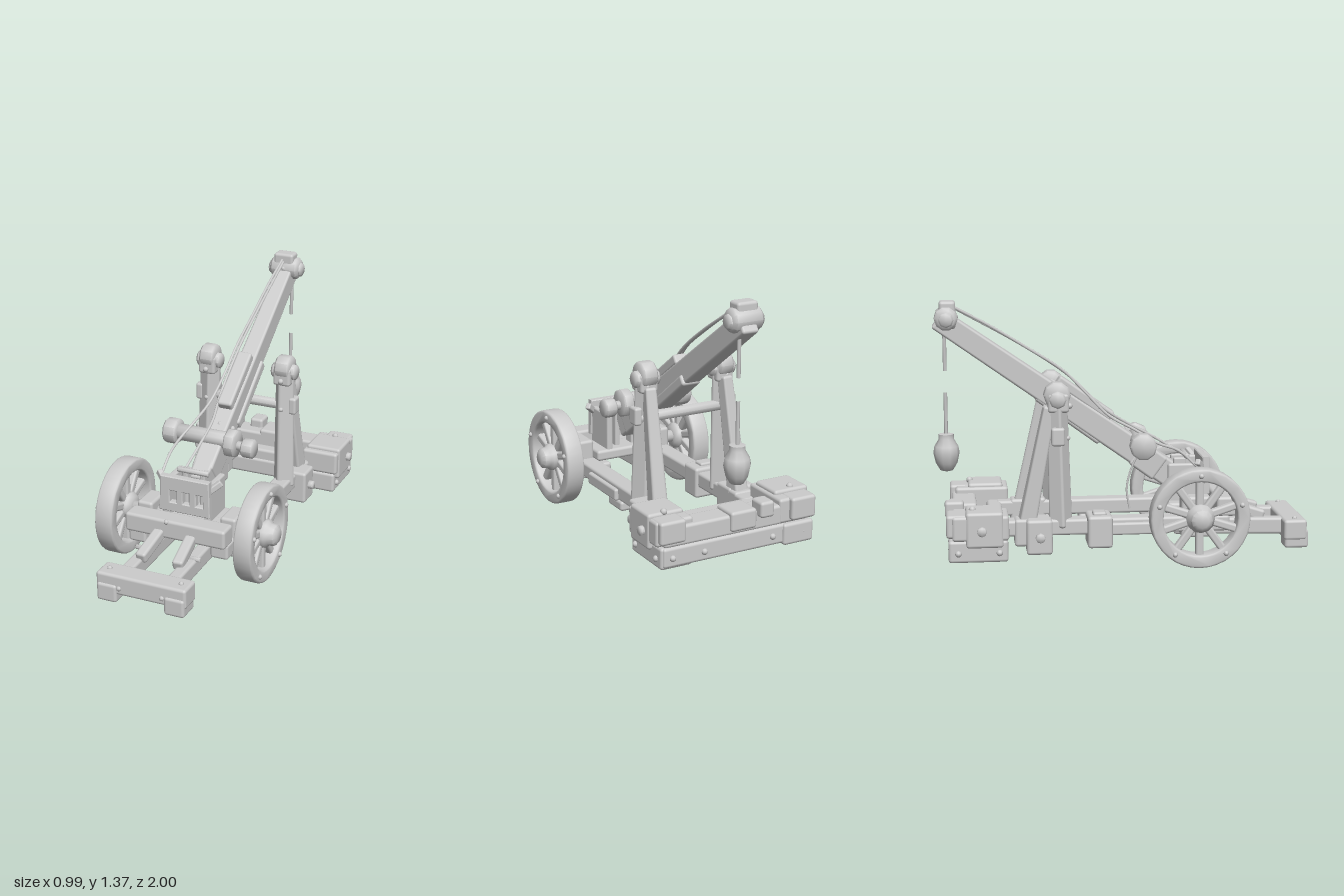
import * as THREE from 'three';
import { RoundedBoxGeometry } from 'three/addons/geometries/RoundedBoxGeometry.js';
import { toCreasedNormals } from 'three/addons/utils/BufferGeometryUtils.js';

const mat = new THREE.MeshStandardMaterial({ color: 0xcccccc });
const V = (x, y, z) => new THREE.Vector3(x, y, z);
const lathe = (pts, sides) => toCreasedNormals(new THREE.LatheGeometry(pts.map(p => new THREE.Vector2(...p)), sides), 0.9);

export function createModel() {
  const root = new THREE.Group();
  root.name = 'siegeEngine';

  const add = (name, geo, x = 0, y = 0, z = 0, parent = root) => {
    const m = new THREE.Mesh(geo, mat);
    m.name = name;
    m.position.set(x, y, z);
    parent.add(m);
    return m;
  };
  // Softly worn timber block given by its extents
  const block = (name, x0, x1, y0, y1, z0, z1, parent = root) => {
    const w = x1 - x0, h = y1 - y0, d = z1 - z0;
    const r = Math.min(0.016, Math.min(w, h, d) * 0.3);
    return add(name, new RoundedBoxGeometry(w, h, d, 2, r), (x0 + x1) / 2, (y0 + y1) / 2, (z0 + z1) / 2, parent);
  };
  // Timber between two points, tapering towards q
  const beam = (name, p, q, w, h, taper = 1) => {
    const len = p.distanceTo(q);
    const g = new RoundedBoxGeometry(w, h, len, 2, Math.min(0.015, w * 0.25, h * 0.25));
    const pos = g.attributes.position;
    for (let i = 0; i < pos.count; i++) {
      const s = 1 + (taper - 1) * (pos.getZ(i) / len + 0.5);
      pos.setXY(i, pos.getX(i) * s, pos.getY(i) * s);
    }
    const m = add(name, g);
    m.position.copy(p).lerp(q, 0.5);
    m.lookAt(q);
    return m;
  };
  // Bevelled cylinder along x
  const rod = (name, x0, x1, y, z, r, sides = 12) => {
    const h = (x1 - x0) / 2, b = Math.min(r, h) * 0.25;
    const g = lathe([[0, -h], [r - b, -h], [r, b - h], [r, h - b], [r - b, h], [0, h]], sides);
    return add(name, g.rotateZ(-Math.PI / 2), (x0 + x1) / 2, y, z);
  };
  const bolt = (x, y, z, r = 0.014) => add('bolt', new THREE.SphereGeometry(r, 8, 6), x, y, z);
  const rope = (name, pts, r = 0.008) =>
    add(name, new THREE.TubeGeometry(new THREE.CatmullRomCurve3(pts.map(p => V(...p))), 48, r, 6));

  // Wheels with rim, spokes and hub
  const rimShape = new THREE.Shape().absarc(0, 0, 0.252, 0, Math.PI * 2);
  rimShape.holes.push(new THREE.Path().absarc(0, 0, 0.206, 0, Math.PI * 2, true));
  const rimGeo = toCreasedNormals(new THREE.ExtrudeGeometry(rimShape, {
    depth: 0.08, curveSegments: 18, bevelSize: 0.01, bevelThickness: 0.01, bevelSegments: 2,
  }).translate(0, 0, -0.04).rotateY(Math.PI / 2), 0.9);
  const hubGeo = lathe([
    [0, -0.055], [0.055, -0.055], [0.075, -0.035], [0.075, 0.04], [0.06, 0.055], [0.056, 0.085], [0.035, 0.1], [0, 0.1],
  ], 12);
  for (const s of [-1, 1]) {
    const wheel = new THREE.Group();
    wheel.name = s > 0 ? 'leftWheel' : 'rightWheel';
    wheel.position.set(s * 0.395, 0.267, 0.377);
    root.add(wheel);
    add('rim', rimGeo, 0, 0, 0, wheel);
    add('hub', hubGeo, 0, 0, 0, wheel).rotation.z = -s * Math.PI / 2;
    for (let i = 0; i < 10; i++) {
      const a = i * Math.PI / 5;
      const sp = add('spoke', new RoundedBoxGeometry(0.045, 0.16, 0.042, 2, 0.012), 0, 0.133 * Math.cos(a), 0.133 * Math.sin(a), wheel);
      sp.rotation.x = a;
    }
    for (let i = 0; i < 5; i++) {
      const a = i * Math.PI * 0.4;
      add('rimBolt', new THREE.SphereGeometry(0.014, 8, 6), s * 0.05, 0.228 * Math.cos(a), 0.228 * Math.sin(a), wheel);
    }
  }
  rod('axle', -0.4, 0.4, 0.267, 0.377, 0.035);

  // Front bumper
  block('frontBar', -0.25, 0.25, 0.09, 0.2, 0.865, 0.99);
  for (const s of [-1, 1]) {
    block('barClamp', s * 0.188 - 0.056, s * 0.188 + 0.056, 0.045, 0.145, 0.87, 1);
    bolt(s * 0.2, 0.2, 0.93);
    bolt(s * 0.12, 0.13, 0.988);
  }

  // Chassis
  for (const s of [-1, 1]) {
    beam('frontRail', V(s * 0.13, 0.15, 0.9), V(s * 0.13, 0.165, 0.28), 0.07, 0.09);
    beam('sideRail', V(s * 0.235, 0.205, 0.56), V(s * 0.235, 0.205, -0.66), 0.1, 0.085);
    beam('wedge', V(s * 0.105, 0.2, 0.78), V(s * 0.085, 0.28, 0.52), 0.06, 0.06);
    rod('peg', s * 0.15 - 0.035, s * 0.15 + 0.035, 0.2, 0.67, 0.013, 8);
    block('axleBearing', s * 0.24 - 0.045, s * 0.24 + 0.045, 0.13, 0.35, 0.3, 0.46);
    block('sidePlank', s * 0.285 - 0.02, s * 0.285 + 0.02, 0.16, 0.225, -0.16, 0.16);
    bolt(s * 0.25, 0.225, 0.52);
  }
  block('frontCrossBeam', -0.285, 0.285, 0.24, 0.345, 0.49, 0.6);
  bolt(-0.045, 0.335, 0.595);
  block('railStrapRight', -0.34, -0.17, 0.1, 0.27, -0.2, -0.07);
  block('railStrapPeg', -0.3, -0.22, 0.25, 0.285, -0.17, -0.1);
  block('railStrapLeft', 0.17, 0.29, 0.11, 0.165, -0.2, -0.05);

  // Slotted cradle holding the foot of the arm
  const plate = new THREE.Shape([[-0.14, 0.34], [0.14, 0.34], [0.135, 0.53], [-0.135, 0.53]].map(p => new THREE.Vector2(...p)));
  for (const x of [-0.065, 0.01, 0.085]) {
    plate.holes.push(new THREE.Path([[x - 0.025, 0.385], [x - 0.025, 0.46], [x + 0.025, 0.46], [x + 0.025, 0.385]].map(p => new THREE.Vector2(...p))));
  }
  const plateGeo = new THREE.ExtrudeGeometry(plate, { depth: 0.03, bevelSize: 0.005, bevelThickness: 0.005, bevelSegments: 1 });
  add('cradleFront', plateGeo, 0, 0, 0.44);
  for (const s of [-1, 1]) {
    block('cradleSide', s * 0.118 - 0.018, s * 0.118 + 0.018, 0.24, 0.5, 0.25, 0.45);
    block('cradleUpright', s * 0.05 - 0.015, s * 0.05 + 0.015, 0.28, 0.52, 0.29, 0.36);
    beam('cradleHorn', V(s * 0.12, 0.47, 0.44), V(s * 0.18, 0.52, 0.4), 0.03, 0.035);
  }
  block('cradleFloor', -0.2, 0.2, 0.24, 0.3, 0.24, 0.46);
  rod('cradlePin', -0.09, 0.09, 0.53, 0.36, 0.015, 8);

  // Rear counterweight sledge
  block('rearBeamLower', -0.43, 0.43, 0.08, 0.185, -0.91, -0.77);
  block('rearBeamUpper', -0.42, 0.42, 0.18, 0.285, -0.9, -0.77);
  block('innerBeamLower', -0.4, 0.4, 0.085, 0.185, -0.72, -0.62);
  block('innerBeamUpper', -0.36, 0.36, 0.16, 0.245, -0.71, -0.63);
  block('saddlePlate', -0.1, 0.05, 0.2, 0.305, -0.92, -0.77);
  block('saddleClasp', -0.19, -0.11, 0.25, 0.335, -0.94, -0.84);
  for (const s of [-1, 1]) {
    const weight = new THREE.Group();
    weight.name = s > 0 ? 'leftWeight' : 'rightWeight';
    root.add(weight);
    const dz = s > 0 ? 0.02 : -0.005;
    const side = (n, a, b, ...r) => block(n, Math.min(s * a, s * b), Math.max(s * a, s * b), ...r, weight);
    side('weightLower', 0.26, 0.44, 0.07, 0.185, -0.92 + dz, -0.615 + dz);
    side('weightUpper', 0.245, 0.455, 0.185, 0.315, -0.9 + dz, -0.61 + dz);
    side('weightStrap', 0.26, 0.462, 0.15, 0.335, -0.83 + dz, -0.64 + dz);
    side('weightCorner', 0.3, 0.445, 0.2, 0.32, -0.93 + dz, -0.82 + dz);
    rod('weightPin', s * 0.465 - 0.02, s * 0.465 + 0.02, 0.24, -0.755, 0.025, 8);
    bolt(s * 0.37, 0.335, -0.8, 0.018);
    for (const z of [-0.87, -0.66]) bolt(s * 0.44, 0.12, z + dz, 0.017);
    for (const x of [0.2, 0.38]) bolt(s * x, 0.13, -0.91, 0.017);
  }

  // Twin uprights with braces, feet and capped bearings
  for (const s of [-1, 1]) {
    const x = s * 0.225;
    beam('post', V(s * 0.235, 0.2, -0.335), V(x, 0.86, -0.35), 0.1, 0.095, 0.88);
    beam('brace', V(s * 0.24, 0.22, -0.515), V(x, 0.84, -0.39), 0.085, 0.09, 0.7);
    block('foot', s * 0.265 - 0.08, s * 0.265 + 0.08, 0.075, 0.26, -0.52, -0.385);
    block('footToe', s * 0.24 - 0.055, s * 0.24 + 0.055, 0.11, 0.255, -0.58, -0.5);
    rod('footPin', s * 0.355 - 0.02, s * 0.355 + 0.02, 0.17, -0.45, 0.025, 8);
    rod('postCap', x - 0.043, x + 0.043, 0.9, -0.35, 0.07, 10);
    block('postHead', x - 0.05, x + 0.05, 0.81, 0.91, -0.4, -0.29);
    rod('postBoss', x - 0.072, x + 0.072, 0.88, -0.35, 0.045, 8);
    block('sideBracket', s * 0.28 - 0.022, s * 0.28 + 0.022, 0.64, 0.735, -0.385, -0.315);
    bolt(x, 0.84, -0.285, 0.016);
    bolt(x, 0.67, -0.295);
  }
  rod('postCrossBeam', -0.27, 0.27, 0.675, -0.36, 0.03, 8);

  // Throwing arm with reinforcing plates and a pinned head
  beam('arm', V(0, 0.42, 0.28), V(0.003, 1.283, -0.96), 0.11, 0.14, 0.82);
  beam('armPlate', V(0, 0.745, -0.04), V(0, 0.95, -0.33), 0.085, 0.055);
  beam('armUnderPlate', V(0.01, 0.62, -0.1), V(0.01, 0.87, -0.44), 0.11, 0.06);
  beam('armCollar', V(0, 0.455, 0.22), V(0, 0.55, 0.09), 0.12, 0.145);
  block('headBlock', -0.062, 0.055, 1.23, 1.375, -0.95, -0.865);
  rod('headRoller', -0.085, 0.085, 1.285, -0.915, 0.062, 10);
  rod('headPin', -0.1, 0.1, 1.28, -0.915, 0.04, 8);
  for (const y of [0.6, 1.22]) bolt(0, y + 0.07, 0.28 - (y - 0.42) * 1.43, 0.014);
  bolt(0.055, 0.635, -0.02, 0.016);

  // Winch across the arm
  rod('winchDrum', -0.22, 0.12, 0.62, 0.1, 0.045);
  rod('winchPin', 0.1, 0.2, 0.6, 0.1, 0.025);
  rod('winchRightCap', -0.28, -0.2, 0.62, 0.1, 0.07, 10);
  rod('winchInnerCap', 0.08, 0.14, 0.61, 0.1, 0.078, 8);
  rod('winchLeftCap', 0.17, 0.24, 0.595, 0.1, 0.052, 10);

  // Ropes and hanging shot bag
  rope('mainRope', [[-0.17, 0.49, 0.4], [-0.165, 0.58, 0.3], [-0.16, 0.62, 0.19], [-0.12, 0.69, 0.07], [-0.09, 0.76, -0.06],
    [-0.06, 0.89, -0.19], [-0.045, 1.0, -0.3], [-0.03, 1.13, -0.5], [-0.02, 1.25, -0.7], [-0.01, 1.34, -0.87]]);
  rope('secondRope', [[-0.05, 0.54, 0.34], [-0.03, 0.63, 0.19], [-0.025, 0.7, 0.06], [-0.045, 0.79, -0.08], [-0.03, 0.98, -0.28],
    [-0.015, 1.14, -0.52], [0, 1.33, -0.86]]);
  rope('slackRope', [[-0.07, 0.57, 0.11], [-0.07, 0.47, 0.06], [-0.07, 0.36, 0.035], [-0.07, 0.25, 0.05]], 0.006);
  rope('slingRopeUpper', [[0.03, 1.25, -0.925], [0.03, 1.1, -0.925], [0.03, 1.0, -0.925]], 0.01);
  rope('slingRopeLower', [[0.03, 0.885, -0.925], [0.03, 0.75, -0.925], [0.03, 0.63, -0.925]], 0.01);
  const bag = [[0, 0.455], [0.035, 0.465], [0.058, 0.505], [0.07, 0.56], [0.064, 0.595], [0.04, 0.635], [0.042, 0.66], [0, 0.664]];
  add('shotBag', lathe(bag, 10), 0.03, 0, -0.925);
  return root;
}
